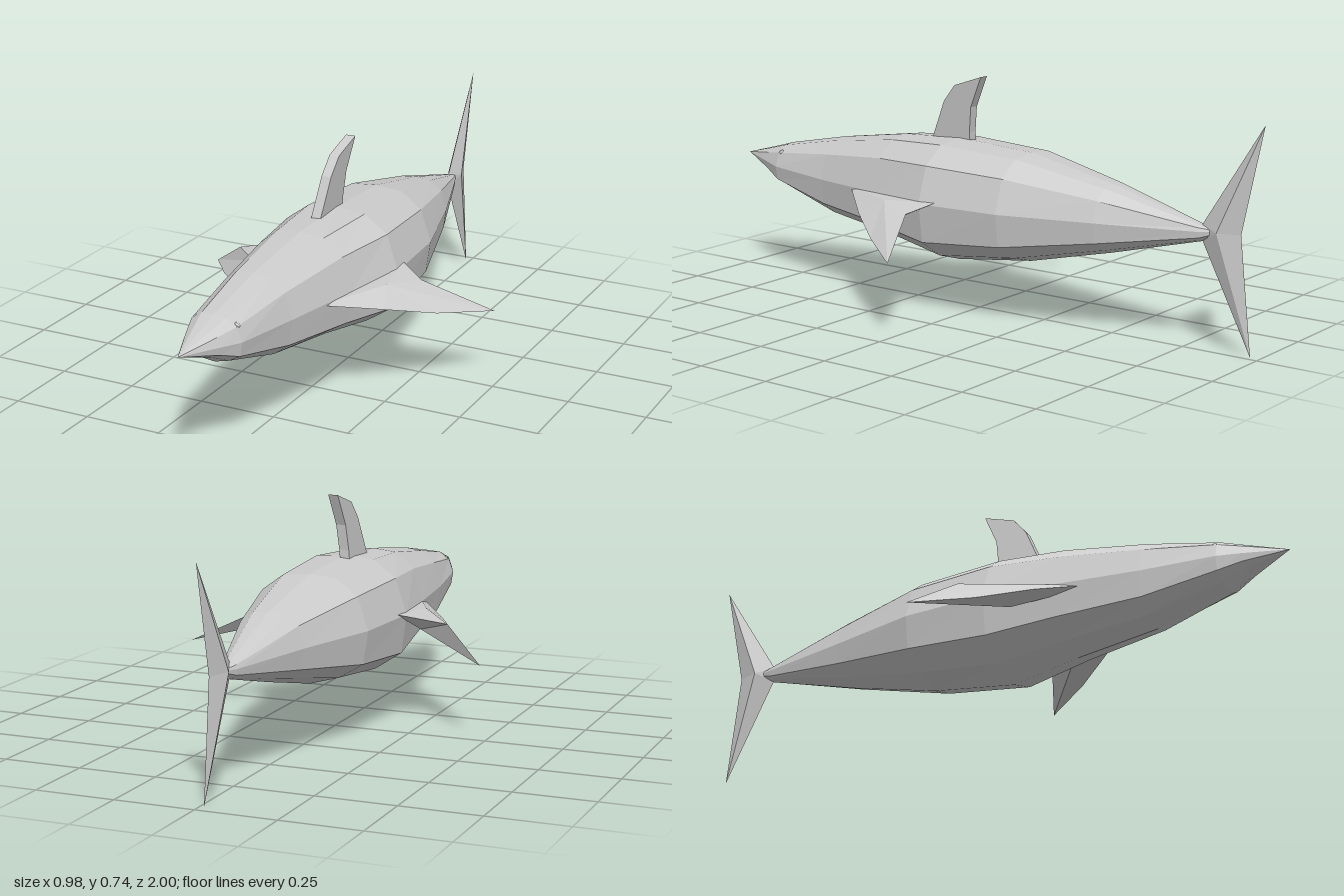
import * as THREE from 'three';

const grey = () => new THREE.MeshStandardMaterial({ color: 0xcccccc, flatShading: true });

function addMesh(group, name, geometry) {
  const mesh = new THREE.Mesh(geometry, grey());
  mesh.name = name;
  group.add(mesh);
  return mesh;
}

function fromTriangles(triangles) {
  const geometry = new THREE.BufferGeometry();
  geometry.setAttribute('position', new THREE.Float32BufferAttribute(triangles.flat(2), 3));
  geometry.computeVertexNormals();
  return geometry;
}

// Thin faceted blade: an outline (counter-clockwise seen from ridge a) fanned to a ridge on each side
function blade(outline, a, b) {
  const triangles = [];
  outline.forEach((p, i) => {
    const q = outline[(i + 1) % outline.length];
    triangles.push([p, q, a], [q, p, b]);
  });
  return fromTriangles(triangles);
}

// Body stations, nose to tail: z, top y, bottom y, half width, side-line y, centre x
const stations = [
  [1.0, 0.385, 0.385, 0, 0.385, -0.02],
  [0.87, 0.42, 0.335, 0.06, 0.376, -0.02],
  [0.8, 0.44, 0.295, 0.09, 0.37, -0.02],
  [0.57, 0.485, 0.22, 0.125, 0.36, -0.02],
  [0.3, 0.525, 0.185, 0.17, 0.36, -0.01],
  [0.08, 0.537, 0.145, 0.21, 0.36, 0],
  [-0.2, 0.522, 0.18, 0.192, 0.36, 0],
  [-0.5, 0.46, 0.25, 0.112, 0.36, 0],
  [-0.8, 0.375, 0.325, 0.026, 0.357, -0.015],
  [-0.87, 0.36, 0.36, 0, 0.36, -0.018],
];

// Half cross-section, top to keel: fraction of half width, fraction of height above (+) or below (-) the side line
const section = [[0, 1], [0.46, 0.95], [0.82, 0.64], [1, 0], [0.92, -0.58], [0.5, -0.85], [0, -1]];

function bodyGeometry() {
  const loop = [...section, ...section.slice(1, -1).reverse().map(([x, y]) => [-x, y])];
  const rings = stations.map(([z, top, bottom, half, mid, cx]) =>
    loop.map(([x, y]) => [cx + x * half, mid + y * (y > 0 ? top - mid : mid - bottom), z]));
  const triangles = [];
  for (let i = 0; i < rings.length - 1; i++) {
    for (let j = 0; j < loop.length; j++) {
      const k = (j + 1) % loop.length;
      const a = rings[i][j], b = rings[i][k], c = rings[i + 1][j], d = rings[i + 1][k];
      if (i > 0) triangles.push([a, b, c]);
      if (i < rings.length - 2) triangles.push([b, d, c]);
      else triangles[triangles.length - 1] = [a, b, c];
    }
  }
  return fromTriangles(triangles);
}

// Swept-back side fin; side is +1 for the left and -1 for the right
function pectoralFin(side, notchX) {
  const place = ([x, y, z]) => [side * x, y, z];
  const outline = [
    [0.12, 0.357, 0.43], [0.26, 0.315, 0.28], [0.37, 0.272, 0.14],
    [0.49, 0.242, -0.025], [notchX, 0.342, 0.07], [0.2, 0.37, 0.02],
  ].map(place);
  if (side < 0) outline.reverse();
  return blade(outline, place([0.23, 0.362, 0.2]), place([0.22, 0.295, 0.18]));
}

// Curved upright fin of even thickness, leaning slightly to the left
function dorsalFin() {
  const shape = new THREE.Shape([
    [-0.2, 0.5], [-0.04, 0.5], [-0.04, 0.56], [-0.03, 0.64], [0.015, 0.74], [-0.09, 0.705], [-0.135, 0.65],
  ].map(([x, y]) => new THREE.Vector2(x, y)));
  const geometry = new THREE.ExtrudeGeometry(shape, { depth: 0.032, bevelEnabled: false });
  geometry.rotateY(Math.PI / 2).translate(-0.032, 0, 0);
  const p = geometry.attributes.position;
  for (let i = 0; i < p.count; i++) p.setX(i, p.getX(i) + 0.08 * (p.getY(i) - 0.535));
  geometry.computeVertexNormals();
  return geometry;
}

export function createModel() {
  const model = new THREE.Group();
  model.name = 'shark';

  addMesh(model, 'body', bodyGeometry());
  addMesh(model, 'dorsalFin', dorsalFin());
  addMesh(model, 'leftPectoralFin', pectoralFin(1, 0.285));
  addMesh(model, 'rightPectoralFin', pectoralFin(-1, 0.35));

  // Tail fin with a tall upper lobe and a shorter lower lobe
  const tailOutline = [[0.33, -0.8], [0, -0.97], [0.36, -0.93], [0.69, -1], [0.375, -0.8]]
    .map(([y, z]) => [-0.015, y, z]);
  addMesh(model, 'tailFin', blade(tailOutline, [0.008, 0.36, -0.86], [-0.042, 0.36, -0.86]));

  // Small eyes
  for (const side of [1, -1]) {
    const eye = addMesh(model, side > 0 ? 'leftEye' : 'rightEye', new THREE.IcosahedronGeometry(0.01, 1));
    eye.position.set(-0.018 + side * 0.066, 0.415, 0.79);
  }
  return model;
}
